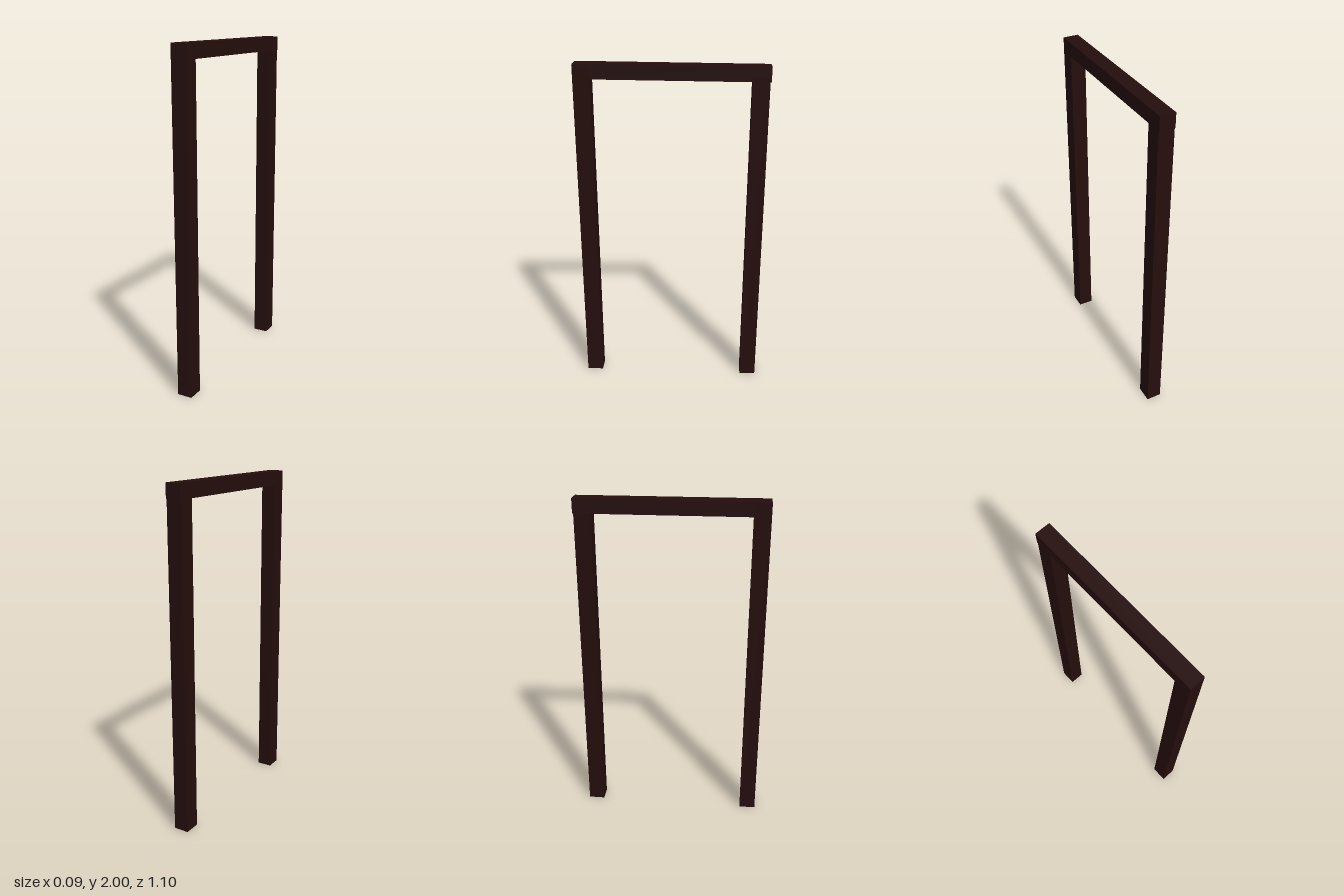
import * as THREE from 'three';

export function createModel() {
  const group = new THREE.Group();
  group.name = 'doorFrame';
  const darkWood = new THREE.MeshStandardMaterial({ color: 0x240e0d });
  darkWood.name = 'darkWood';

  function beam(name, size, position) {
    const mesh = new THREE.Mesh(new THREE.BoxGeometry(...size), darkWood);
    mesh.name = name;
    mesh.position.set(...position);
    group.add(mesh);
    return mesh;
  }

  // Upright posts; the front one runs up to the top, the back one stops under the lintel
  beam('frontPost', [0.09, 1.99, 0.097], [0, 0.995, 0.502]);
  beam('backPost', [0.09, 1.93, 0.097], [0, 0.965, -0.495]);

  // Lintel, sagging very slightly towards the back
  const lintel = beam('lintel', [0.09, 0.084, 1.099], [0, 1.955, 0]);
  lintel.rotation.x = -0.005;

  return group;
}
